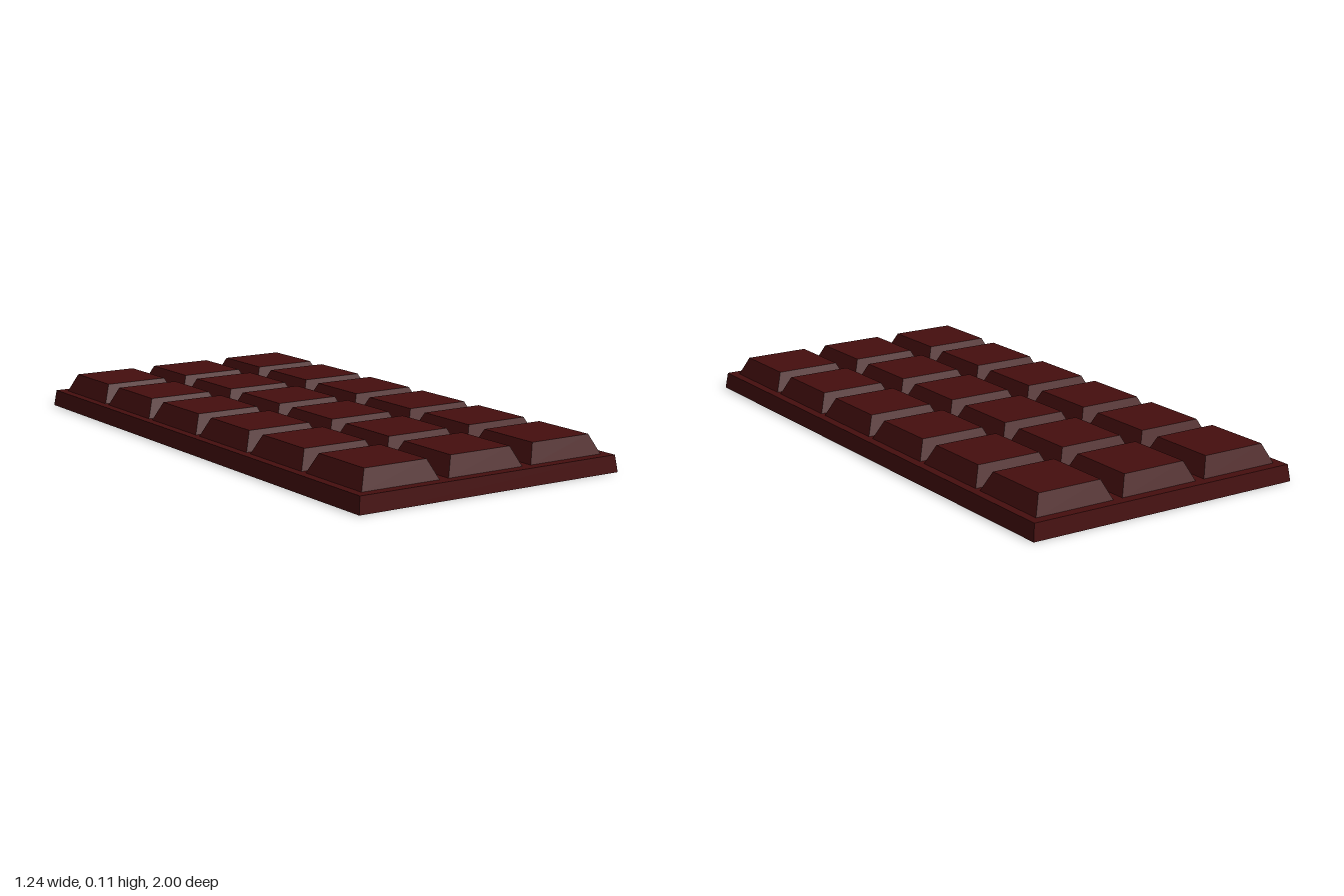
import * as THREE from 'three';

// Box whose top face is inset on all sides, standing on y = 0
function taperedSlab(width, height, depth, inset) {
  const geometry = new THREE.BoxGeometry(width, height, depth);
  geometry.translate(0, height / 2, 0);
  const p = geometry.attributes.position;
  for (let i = 0; i < p.count; i++) {
    if (p.getY(i) > height / 2) {
      p.setX(i, p.getX(i) - Math.sign(p.getX(i)) * inset);
      p.setZ(i, p.getZ(i) - Math.sign(p.getZ(i)) * inset);
    }
  }
  geometry.computeVertexNormals();
  return geometry;
}

export function createModel() {
  const chocolate = new THREE.MeshStandardMaterial({ color: 0x450e0e, flatShading: true });
  chocolate.name = 'dark chocolate';

  const model = new THREE.Group();
  model.name = 'chocolateBar';

  // The bar lies slightly turned
  const bar = new THREE.Group();
  bar.name = 'bar';
  bar.rotation.y = 0.164;
  model.add(bar);

  // Thin base slab
  const baseHeight = 0.053;
  const base = new THREE.Mesh(taperedSlab(0.945, baseHeight, 1.87, 0.007), chocolate);
  base.name = 'base';
  bar.add(base);

  // Three by six grid of bevelled pieces, sunk slightly into the base
  const columns = 3, rows = 6, pitch = 0.302, sink = 0.002;
  const pieceGeometry = taperedSlab(0.272, 0.06 + sink, 0.282, 0.028);
  for (let row = 0; row < rows; row++) {
    for (let column = 0; column < columns; column++) {
      const piece = new THREE.Mesh(pieceGeometry, chocolate);
      piece.name = `piece${row + 1}_${column + 1}`;
      piece.position.set(
        (column - (columns - 1) / 2) * pitch,
        baseHeight - sink,
        (row - (rows - 1) / 2) * pitch
      );
      bar.add(piece);
    }
  }
  return model;
}
